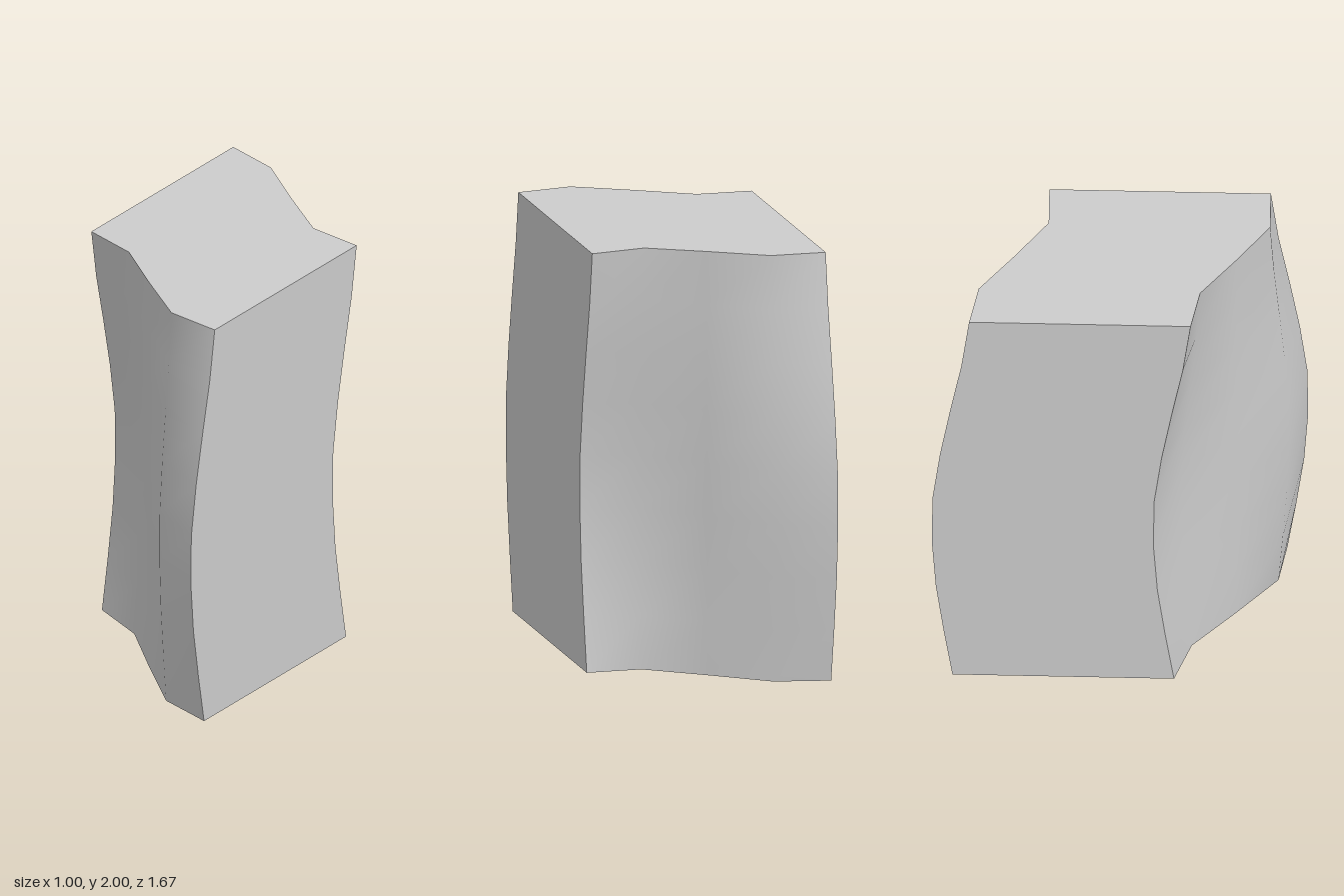
import * as THREE from 'three';

// Sideways wave of a horizontal section at x = -0.5, -0.25, 0, 0.25, 0.5 (top of block)
const WAVE = [-0.165, -0.13, 0.025, 0.17, 0.165];
// Shift of the left edge at each height step of 0.25, from the base up
const EDGE = [0.24, 0.28, 0.315, 0.333, 0.33, 0.296, 0.25, 0.2, 0.165];

export function createModel() {
  const group = new THREE.Group();
  const grey = new THREE.MeshStandardMaterial({ color: 0xcccccc });
  grey.name = 'light grey';

  // Upright block whose sections are swept along z by the wave, sheared by height
  const geometry = new THREE.BoxGeometry(1, 2, 1, 4, 8, 1);
  geometry.translate(0, 1, 0);
  const p = geometry.attributes.position;
  for (let i = 0; i < p.count; i++) {
    const x = p.getX(i);
    const column = Math.round((x + 0.5) * 4);
    const row = Math.round(p.getY(i) * 4);
    const shear = 2 * x * (EDGE[row] - EDGE[8]);
    p.setZ(i, p.getZ(i) + WAVE[column] + shear);
  }
  // Each box face keeps its own vertices, so faces are smooth and edges sharp
  geometry.computeVertexNormals();

  const block = new THREE.Mesh(geometry, grey);
  block.name = 'wavyBlock';
  group.add(block);
  return group;
}
